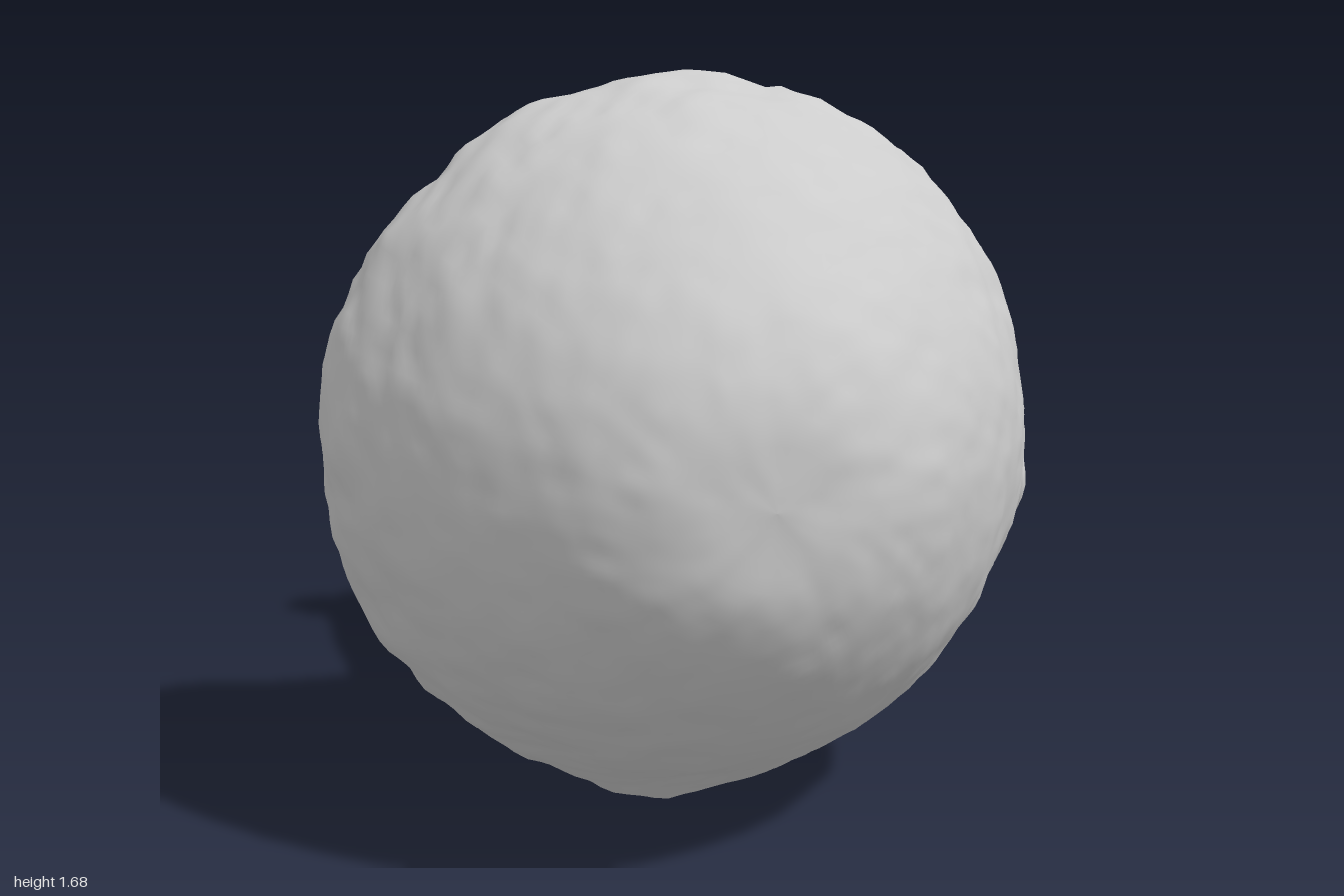
import * as THREE from 'three';

const V = (x, y, z) => new THREE.Vector3(x, y, z);
const TAU = Math.PI * 2;
const { smoothstep, lerp } = THREE.MathUtils;
const material = new THREE.MeshStandardMaterial({ color: 0xcccccc, side: THREE.DoubleSide });

// Smooth surface through closed rings; faces whose centre satisfies skip() are left out
function loft(rings, skip = () => false) {
  const n = rings[0].length, index = [];
  const add = (a, b, c) => {
    const mid = V(0, 0, 0);
    [a, b, c].forEach(k => mid.addScaledVector(rings[Math.floor(k / n)][k % n], 1 / 3));
    if (!skip(mid)) index.push(a, b, c);
  };
  for (let i = 0; i < rings.length - 1; i++) {
    for (let j = 0; j < n; j++) {
      const a = i * n + j, b = i * n + (j + 1) % n;
      add(a, a + n, b);
      add(b, a + n, b + n);
    }
  }
  const g = new THREE.BufferGeometry().setFromPoints(rings.flat());
  g.setIndex(index);
  g.computeVertexNormals();
  return g;
}

// Seeded value noise in the range -1 to 1
const hash = (x, y, z) => {
  const s = Math.sin(x * 127.1 + y * 311.7 + z * 74.7) * 43758.5453;
  return (s - Math.floor(s)) * 2 - 1;
};
function noise(p, f) {
  const [x, y, z] = [p.x * f, p.y * f, p.z * f];
  const [i, j, k] = [x, y, z].map(Math.floor);
  const ease = t => t * t * (3 - 2 * t);
  const [u, v, w] = [ease(x - i), ease(y - j), ease(z - k)];
  let sum = 0;
  for (let c = 0; c < 8; c++) {
    const [a, b, d] = [c & 1, (c >> 1) & 1, c >> 2];
    sum += hash(i + a, j + b, k + d) * (a ? u : 1 - u) * (b ? v : 1 - v) * (d ? w : 1 - w);
  }
  return sum;
}
const lumps = p => 0.6 * noise(p, 9) + 0.5 * noise(p, 22);

function part(name, geometry) {
  const mesh = new THREE.Mesh(geometry, material);
  mesh.name = name;
  return mesh;
}

// Domed cap with a wavy rolled rim and a groove round the stem, filled in at the bottom
function capGeometry() {
  const rimZ = [0.22, 0.07, 0.12, 0.09, 0.13, 0.07, 0.1, 0.06,
    0.08, 0.12, 0.13, 0.18, 0.2, 0.18, 0.13, 0.2];
  const rim = new THREE.CatmullRomCurve3(rimZ.map((z, i) => V(i, z, 0)), true);
  const angles = 160, steps = 90;
  const rings = Array.from({ length: steps + 1 }, () => []);
  for (let j = 0; j < angles; j++) {
    const a = j / angles * TAU;
    const z = rim.getPoint(j / angles).y;
    const fill = Math.pow(Math.max(0, -Math.sin(a)), 3);
    const depth = (0.13 + 0.05 * Math.cos(a)) * (1 - fill) - 0.03 * fill;
    const lip = 0.045 * Math.pow(fill, 6);
    const wide = 0.04 * Math.max(0, -Math.cos(a));
    const profile = [
      [0, 0.995], [0.2, 0.978], [0.35, 0.905], [0.48, 0.79], [0.58, 0.68], [0.67, 0.55],
      [0.75, 0.4], [0.8 + lip * 0.6, 0.28], [0.808 + lip, 0.2 + z * 0.1],
      [0.77 + wide * 0.6 + lip, z + 0.055 * (1 - fill) + 0.01], [0.72 + wide, z + 0.012],
      [0.66 + wide, z], [0.62 + wide * 0.5, z + 0.04 * (1 - fill)],
      [0.595, z + depth * 0.6], [0.55, z + depth]
    ];
    const curve = new THREE.CatmullRomCurve3(
      profile.map(([r, pz]) => V(r * Math.cos(a), 0.855 + r * Math.sin(a), pz)));
    for (let i = 0; i <= steps; i++) {
      const p = curve.getPoint(i / steps);
      const out = V(p.x, p.y - 0.855, p.z - 0.25).normalize();
      const rough = 0.005 + 0.011 * smoothstep(i / steps, 0.25, 0.55);
      rings[i].push(p.addScaledVector(out, rough * lumps(p)));
    }
  }
  return loft(rings);
}

// Stem flaring into the cap and, in one skin, into a thin ragged foot plate with a small hole
function stemGeometry() {
  // z, x range, y range of each section
  const rows = [
    [0.28, -0.59, 0.62, 0.18, 1.45], [0.2, -0.53, 0.54, 0.2, 1.39], [0.1, -0.4, 0.43, 0.39, 1.25],
    [0, -0.32, 0.35, 0.55, 1.14], [-0.1, -0.25, 0.29, 0.63, 1.07], [-0.2, -0.215, 0.26, 0.68, 1.03],
    [-0.3, -0.2, 0.25, 0.7, 1.02], [-0.4, -0.2, 0.25, 0.69, 1.02], [-0.5, -0.21, 0.25, 0.66, 1.035],
    [-0.6, -0.22, 0.28, 0.59, 1.06], [-0.7, -0.23, 0.4, 0.53, 1.08], [-0.8, -0.235, 0.58, 0.5, 1.1],
    [-0.89, -0.245, 0.69, 0.47, 1.14]
  ];
  const outline = [
    [0.76, 0.97], [0.77, 1.08], [0.74, 1.2], [0.6, 1.28], [0.4, 1.37], [0.2, 1.35], [0.13, 1.23],
    [0.03, 1.22], [-0.03, 1.15], [-0.13, 1.15], [-0.2, 1.1], [-0.27, 1.02], [-0.25, 0.96],
    [-0.28, 0.9], [-0.25, 0.84], [-0.27, 0.75], [-0.24, 0.68], [-0.25, 0.57], [-0.2, 0.5],
    [-0.16, 0.39], [-0.06, 0.28], [0.08, 0.22], [0.2, 0.2], [0.33, 0.21], [0.48, 0.29],
    [0.61, 0.46], [0.7, 0.65], [0.75, 0.83]
  ];
  const cx = 0.1, cy = 0.85, sides = 160, steps = 60;
  const curveOf = k => new THREE.CatmullRomCurve3(
    rows.map(r => V(r[k], r[k + 1], r[0])), false, 'catmullrom');
  const xs = curveOf(1), ys = curveOf(3);
  const rings = [];
  for (let i = 0; i <= steps; i++) {
    const x = xs.getPoint(i / steps), y = ys.getPoint(i / steps), ring = [];
    for (let j = 0; j < sides; j++) {
      const c = Math.cos(j / sides * TAU), s = Math.sin(j / sides * TAU);
      const p = V((x.x + x.y) / 2 + (x.y - x.x) / 2 * c, (y.x + y.y) / 2 + (y.y - y.x) / 2 * s, x.z);
      // the flare at the foot leans with the plate
      p.z -= smoothstep(-p.z, 0.7, 0.89) * 0.05 * (0.3 - p.x);
      ring.push(p);
    }
    rings.push(ring);
  }

  // Plate edge point lying in the same direction as each point of the last stem ring
  const dense = new THREE.CatmullRomCurve3(outline.map(([x, y]) => V(x, y, 0)), true).getPoints(1500);
  const last = rings[steps];
  const edge = last.map(p => {
    const d = V(p.x - cx, p.y - cy, 0).normalize();
    const aim = q => ((q.x - cx) * d.x + (q.y - cy) * d.y) / Math.hypot(q.x - cx, q.y - cy);
    return dense.reduce((best, q) => (aim(q) > aim(best) ? q : best));
  });
  const plateZ = p => -0.98 + 0.14 * (p.x - 0.05) ** 2 + 0.12 * (p.y - 0.7) ** 2;
  for (let i = 1; i <= 14; i++) {
    const s = i / 14, drop = 1 - (1 - s) ** 2;
    rings.push(edge.map((e, j) => {
      const p = last[j].clone().lerp(e, s);
      p.z = lerp(last[j].z, plateZ(p) + 0.022, drop) + 0.006 * s * lumps(p);
      return p;
    }));
  }
  for (let i = 0; i <= 30; i++) {
    const s = 1 - i / 30;
    rings.push(edge.map(e => {
      const p = V(lerp(cx, e.x, s), lerp(cy, e.y, s), 0);
      p.z = plateZ(p) - 0.01 + 0.04 * smoothstep(1 - s, 0.6, 1) + 0.006 * lumps(p);
      return p;
    }));
  }
  return loft(rings, c => c.z < -0.9 && Math.hypot((c.x + 0.02) / 0.06, (c.y - 0.4) / 0.045) < 1);
}

const strand = (points, radius) =>
  new THREE.TubeGeometry(new THREE.CatmullRomCurve3(points), 24, radius, 8);

export function createModel() {
  const model = new THREE.Group();
  model.name = 'mushroom';
  model.add(
    part('cap', capGeometry()),
    part('stemAndFootPlate', stemGeometry()),
    // Loose shreds on the stem
    part('lowerShred', strand([V(0.05, 0.53, -0.74), V(0.05, 0.49, -0.68),
      V(0.05, 0.46, -0.62), V(0.05, 0.39, -0.635)], 0.028)),
    part('upperShred', strand([V(0.24, 1.0, -0.66), V(0.27, 1.07, -0.62),
      V(0.31, 1.1, -0.605), V(0.36, 1.15, -0.61)], 0.007))
  );
  return model;
}
